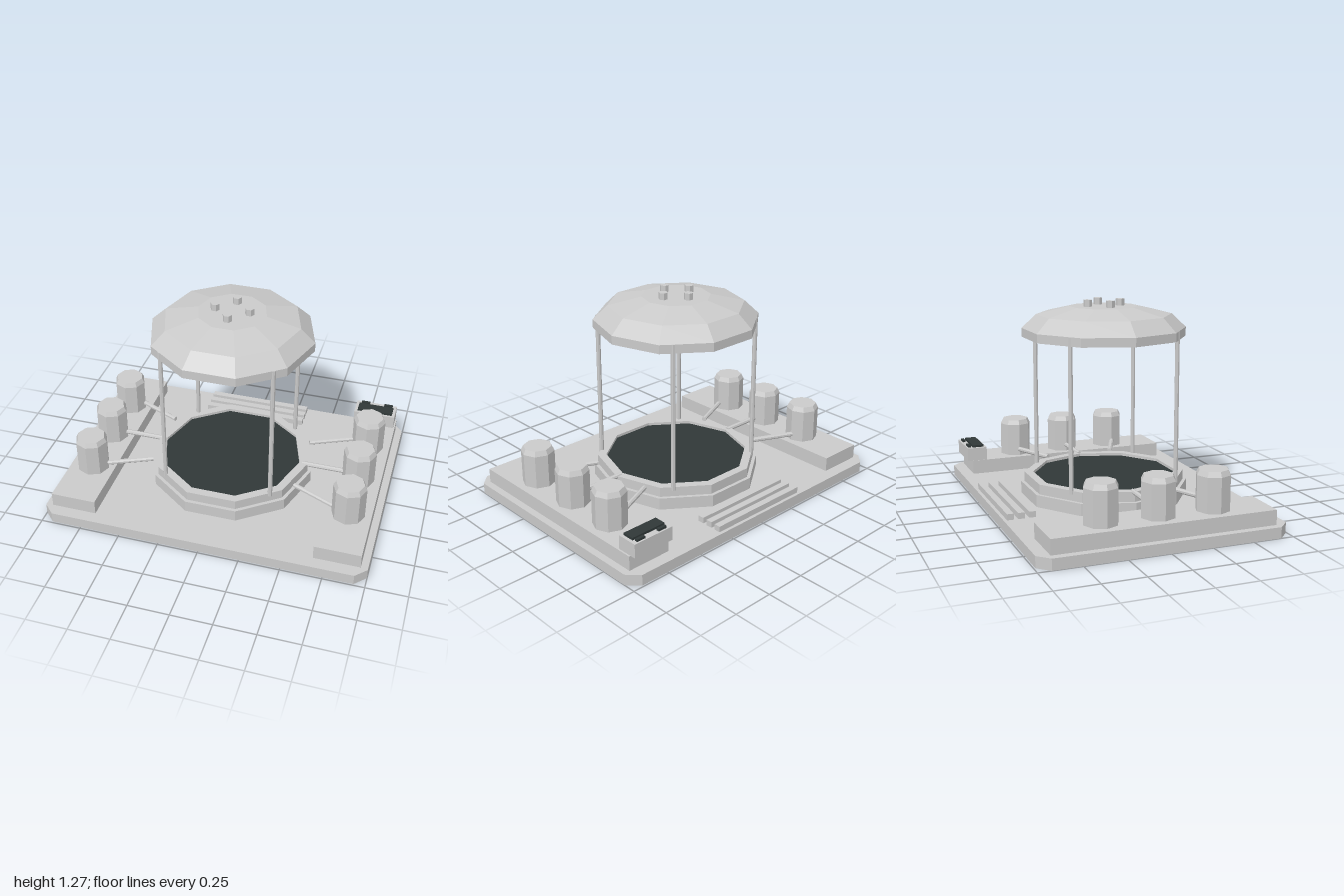
import * as THREE from 'three';

export function createModel() {
  const model = new THREE.Group();
  const grey = new THREE.MeshStandardMaterial({ color: 0xcacaca, flatShading: true });
  grey.name = 'lightGrey';
  const dark = new THREE.MeshStandardMaterial({ color: 0x303838, flatShading: true });
  dark.name = 'darkSlate';

  const add = (name, geometry, material = grey) => {
    const mesh = new THREE.Mesh(geometry, material);
    mesh.name = name;
    model.add(mesh);
    return mesh;
  };
  // Box given by its minimum and maximum corners
  const box = (name, [x0, y0, z0], [x1, y1, z1], material) =>
    add(name, new THREE.BoxGeometry(x1 - x0, y1 - y0, z1 - z0), material)
      .position.set((x0 + x1) / 2, (y0 + y1) / 2, (z0 + z1) / 2);
  // Ten-sided turned part with corners on the x axis
  const lathe = (name, profile) =>
    add(name, new THREE.LatheGeometry(profile.map(([r, y]) => new THREE.Vector2(r, y)), 10, Math.PI / 2));
  // Straight rod between two points
  const rod = (name, a, b, radius, sides) => {
    const from = new THREE.Vector3(...a), to = new THREE.Vector3(...b);
    const dir = to.clone().sub(from);
    const mesh = add(name, new THREE.CylinderGeometry(radius, radius, dir.length(), sides));
    mesh.position.copy(from).add(to).multiplyScalar(0.5);
    mesh.quaternion.setFromUnitVectors(new THREE.Vector3(0, 1, 0), dir.normalize());
  };

  // Base slab with cut corners
  const w = 1, d = 0.74, c = 0.067;
  const outline = new THREE.Shape([
    [-w + c, -d], [w - c, -d], [w, -d + c], [w, d - c],
    [w - c, d], [-w + c, d], [-w, d - c], [-w, -d + c],
  ].map(([x, y]) => new THREE.Vector2(x, y)));
  const slab = new THREE.ExtrudeGeometry(outline, { depth: 0.066, bevelEnabled: false });
  slab.rotateX(-Math.PI / 2);
  add('base', slab);

  // Stepped basin with a dark floor
  lathe('basin', [[0.515, 0.06], [0.515, 0.14], [0.493, 0.14], [0.493, 0.2], [0.44, 0.2], [0.44, 0.15]]);
  const floor = new THREE.CylinderGeometry(0.442, 0.442, 0.009, 10);
  floor.rotateY(Math.PI / 2);
  add('basinFloor', floor, dark).position.y = 0.178;

  // Faceted canopy, hollow inside its rim
  lathe('canopy', [
    [0, 1.095], [0.445, 1.095], [0.445, 1.042], [0.497, 1.042],
    [0.497, 1.095], [0.41, 1.178], [0.207, 1.225], [0, 1.225],
  ]);

  // Knobs on top of the canopy
  for (let i = 0; i < 4; i++) {
    const knob = new THREE.CylinderGeometry(0.027, 0.027, 0.045, 6);
    knob.rotateY(Math.PI / 2);
    const a = i * Math.PI / 2;
    add('canopyKnob', knob).position.set(0.104 * Math.cos(a), 1.243, 0.104 * Math.sin(a));
  }

  for (const s of [-1, 1]) {
    // Canopy posts
    for (const t of [-1, 1]) rod('post', [s * 0.333, 0.18, t * 0.333], [s * 0.333, 1.095, t * 0.333], 0.014, 8);

    // Side plinth carrying three tanks, each piped to the basin
    const x0 = s < 0 ? -0.957 : 0.677;
    box('plinth', [x0, 0.06, -0.665], [x0 + 0.28, 0.155, 0.665]);
    for (const t of [-1, 0, 1]) {
      const z = t * 0.335;
      add('tank', new THREE.CylinderGeometry(0.101, 0.101, 0.207, 8)).position.set(s * 0.815, 0.2585, z);
      add('tankLid', new THREE.CylinderGeometry(0.086, 0.101, 0.03, 8)).position.set(s * 0.815, 0.377, z);
      rod('pipe', [s * 0.72, 0.195, z], [s * 0.457, 0.195, t * 0.217], 0.015, 8);
    }
  }

  // Vent slats at the back
  for (let i = 0; i < 3; i++) {
    const z = -0.7 + i * 0.066;
    box('ventSlat', [-0.335, 0.06, z - 0.02], [0.335, 0.102, z + 0.02]);
  }

  // Control box with a dark screen and two buttons
  box('controlBox', [0.68, 0.155, -0.7], [0.947, 0.24, -0.572]);
  box('controlScreen', [0.7, 0.24, -0.66], [0.928, 0.254, -0.588], dark);
  for (const x of [0.74, 0.892]) box('controlButton', [x - 0.028, 0.24, -0.69], [x + 0.028, 0.254, -0.672], dark);

  return model;
}
